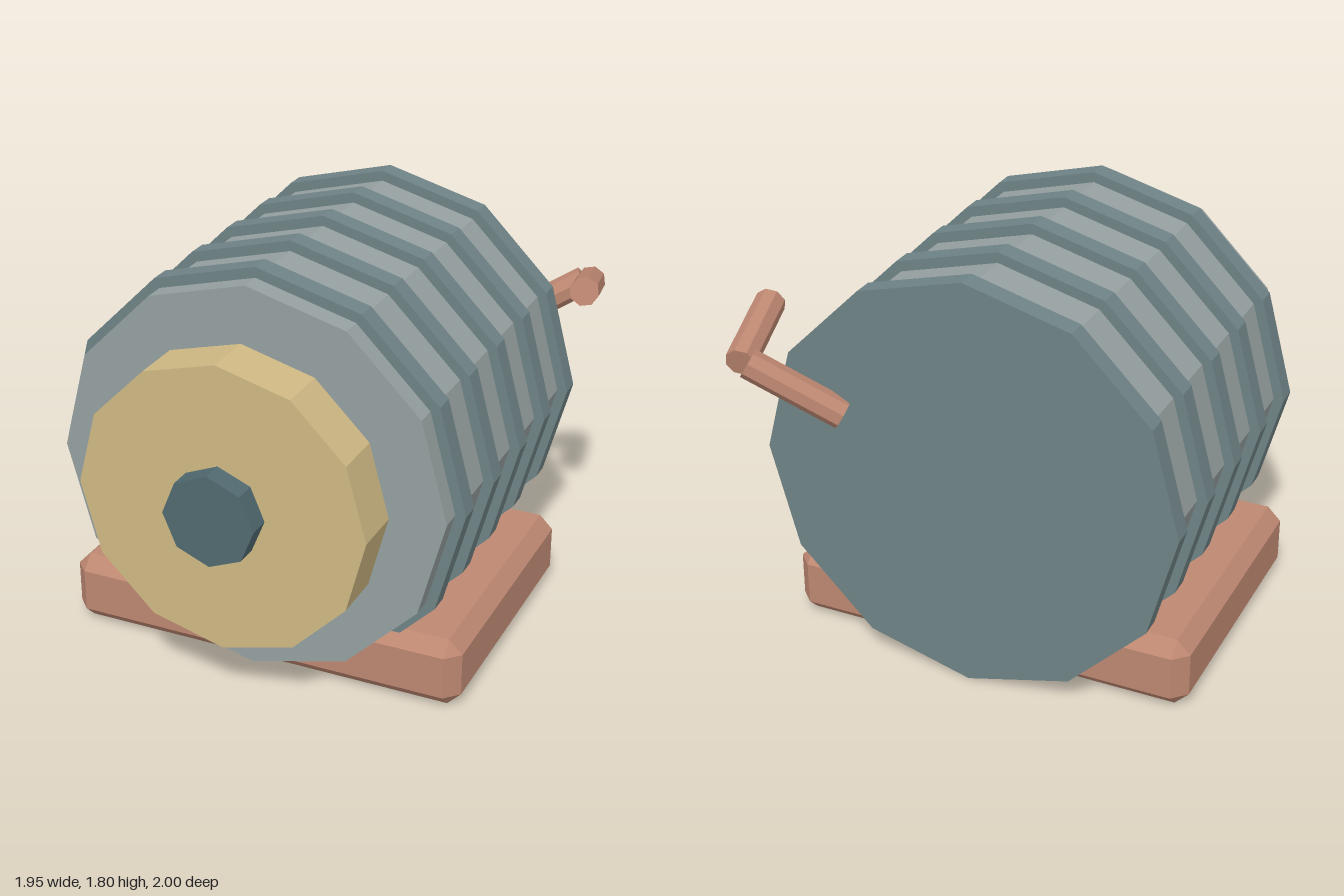
import * as THREE from 'three';
import { ConvexGeometry } from 'three/addons/geometries/ConvexGeometry.js';

const mat = (color) => new THREE.MeshStandardMaterial({ color, flatShading: true });

const AXIS_X = -0.08;
const AXIS_Y = 0.9;

export function createModel() {
  const model = new THREE.Group();
  model.name = 'crankDrum';

  const drumMat = mat(0x96a0a0);
  const ringMat = mat(0x6f8386);
  const brassMat = mat(0xcfb984);
  const hubMat = mat(0x506a70);
  const copperMat = mat(0xbd8771);

  const add = (name, geometry, material) => {
    const mesh = new THREE.Mesh(geometry, material);
    mesh.name = name;
    model.add(mesh);
    return mesh;
  };

  // Faceted disc lying along z on the drum axis, one corner straight up
  const disc = (name, radius, z0, z1, sides, material) => {
    const geometry = new THREE.CylinderGeometry(radius, radius, z1 - z0, sides);
    geometry.rotateX(Math.PI / 2);
    add(name, geometry, material).position.set(AXIS_X, AXIS_Y, (z0 + z1) / 2);
  };

  // Straight faceted rod between two points
  const rod = (name, from, to, radius, material) => {
    const dir = to.clone().sub(from);
    const mesh = add(name, new THREE.CylinderGeometry(radius, radius, dir.length(), 8), material);
    mesh.position.copy(from).add(to).multiplyScalar(0.5);
    mesh.quaternion.setFromUnitVectors(new THREE.Vector3(0, 1, 0), dir.normalize());
  };

  // Box with every edge chamfered, from its half sizes and chamfer width
  const chamferBox = (hx, hy, hz, c) => {
    const points = [];
    for (const x of [-1, 1]) for (const y of [-1, 1]) for (const z of [-1, 1]) {
      points.push(
        new THREE.Vector3(x * hx, y * (hy - c), z * (hz - c)),
        new THREE.Vector3(x * (hx - c), y * hy, z * (hz - c)),
        new THREE.Vector3(x * (hx - c), y * (hy - c), z * hz));
    }
    return new ConvexGeometry(points);
  };

  // Base plinth
  add('base', chamferBox(0.9, 0.155, 0.63, 0.06), copperMat).position.set(AXIS_X, 0.16, -0.035);

  // Drum with five evenly spaced hoops, the last one closing the back
  disc('drum', 0.855, -0.78, 0.64, 12, drumMat);
  for (let i = 0; i < 5; i++) {
    const z = 0.505 - i * 0.315;
    disc(`hoop${i + 1}`, 0.9, z - 0.045, z + 0.045, 12, ringMat);
  }

  // Front wheel and hub
  disc('frontWheel', 0.63, 0.685, 0.905, 12, brassMat);
  disc('hub', 0.2, 0.8, 1.0, 8, hubMat);

  // Bent crank at the back
  rod('crankArm', new THREE.Vector3(0.455, 1.13, -0.81), new THREE.Vector3(0.8, 1.345, -0.94), 0.063, copperMat);
  rod('crankHandle', new THREE.Vector3(0.828, 1.345, -0.95), new THREE.Vector3(0.908, 1.443, -0.58), 0.064, copperMat);

  return model;
}
